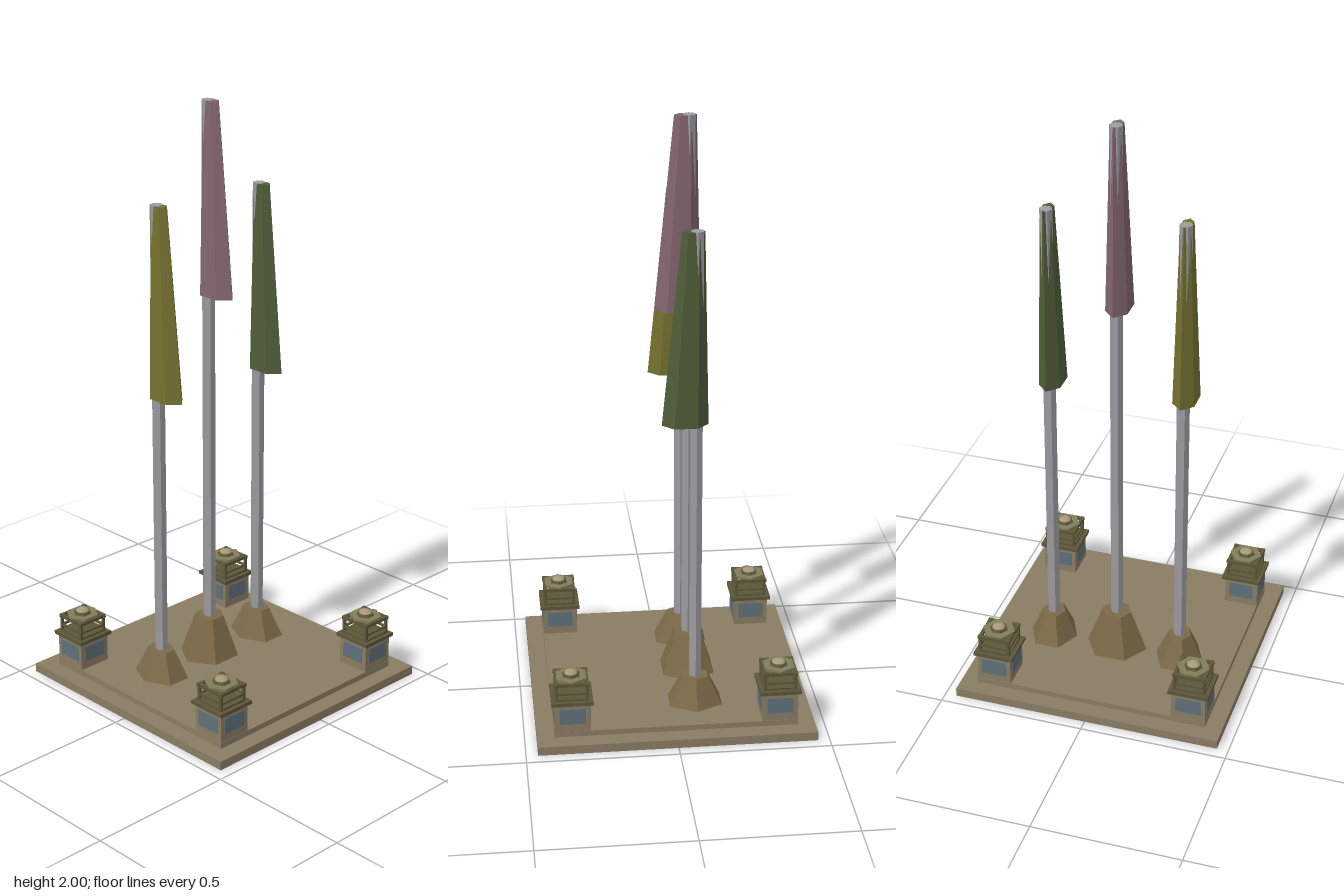
import * as THREE from 'three';

const mat = (color) => new THREE.MeshStandardMaterial({ color, flatShading: true });
const M = {
  stone: mat(0x8a7c64), cone: mat(0x7c6a48), pole: mat(0x9c9ca0),
  pink: mat(0x83656f), yellow: mat(0x74702f), green: mat(0x4f5c38),
  olive: mat(0x5c5638), roof: mat(0x7f7d5a), glass: mat(0x5f707a), knob: mat(0xa89878),
};

function add(parent, name, geo, material, x = 0, y = 0, z = 0) {
  const m = new THREE.Mesh(geo, material);
  m.name = name;
  m.position.set(x, y, z);
  parent.add(m);
  return m;
}
const box = (w, h, d) => new THREE.BoxGeometry(w, h, d);
const hex = (top, bottom, h) => new THREE.CylinderGeometry(top, bottom, h, 6);

// Stretched hexagonal sleeve, wide and pushed to +x at the bottom, narrow at the top
function bannerGeometry(h) {
  const geo = hex(1, 1, h).rotateY(Math.PI / 2);
  const p = geo.attributes.position;
  for (let i = 0; i < p.count; i++) {
    const top = p.getY(i) > 0;
    p.setX(i, p.getX(i) * (top ? 0.036 : 0.075) + (top ? 0.012 : 0.036));
    p.setZ(i, p.getZ(i) / 0.866 * (top ? 0.018 : 0.037));
  }
  geo.computeVertexNormals();
  return geo;
}

// Pole on a hexagonal pedestal with a tapered banner at the top
function createMast(name, z, height, footHeight, footDepth, color) {
  const g = new THREE.Group();
  g.name = name;
  g.position.set(-0.078, 0, z);
  const foot = add(g, 'pedestal', hex(0.049, 0.101, footHeight - 0.048), M.cone, 0, (footHeight + 0.048) / 2, 0);
  foot.scale.z = footDepth / 0.101;
  add(g, 'pole', hex(0.022, 0.022, height - 0.05), M.pole, 0, (height + 0.05) / 2, 0);
  add(g, 'banner', bannerGeometry(0.64), color, 0, height - 0.321, 0);
  return g;
}

// Small corner watchtower
function createTower(x, z) {
  const g = new THREE.Group();
  g.name = 'cornerTower';
  g.position.set(x, 0, z);
  add(g, 'towerBody', box(0.118, 0.1, 0.118), M.stone, 0, 0.098, 0);
  add(g, 'balcony', box(0.138, 0.012, 0.138), M.olive, 0, 0.153, 0);
  add(g, 'deck', box(0.11, 0.008, 0.11), M.olive, 0, 0.162, 0);
  for (let i = 0; i < 4; i++) {
    const side = new THREE.Group();
    side.name = 'towerSide';
    side.rotation.y = i * Math.PI / 2;
    add(side, 'window', box(0.086, 0.055, 0.004), M.glass, 0, 0.104, 0.059);
    add(side, 'cornerPost', box(0.009, 0.062, 0.009), M.olive, 0.05, 0.186, 0.05);
    add(side, 'handrail', box(0.1, 0.007, 0.007), M.olive, 0, 0.183, 0.05);
    add(side, 'topBeam', box(0.114, 0.011, 0.011), M.olive, 0, 0.216, 0.05);
    g.add(side);
  }
  add(g, 'roof', hex(0.056, 0.056, 0.01), M.roof, 0, 0.222, 0);
  add(g, 'lanternCollar', hex(0.026, 0.032, 0.01), M.olive, 0, 0.231, 0);
  const knob = add(g, 'roofKnob', new THREE.SphereGeometry(0.023, 16, 10), M.knob, 0, 0.234, 0);
  knob.scale.y = 0.5;
  return g;
}

export function createModel() {
  const model = new THREE.Group();
  model.name = 'monument';
  // Stepped base
  add(model, 'baseSlab', box(0.922, 0.03, 0.922), M.stone, 0, 0.015, 0);
  add(model, 'upperSlab', box(0.806, 0.022, 0.806), M.stone, 0, 0.038, 0);
  // Three masts in a row
  model.add(createMast('frontMast', 0.219, 1.7, 0.147, 0.083, M.yellow));
  model.add(createMast('centreMast', -0.007, 2.0, 0.195, 0.107, M.pink));
  model.add(createMast('backMast', -0.238, 1.69, 0.147, 0.083, M.green));
  // Towers on all four corners
  for (const x of [-0.343, 0.343]) for (const z of [-0.343, 0.343]) model.add(createTower(x, z));
  return model;
}
